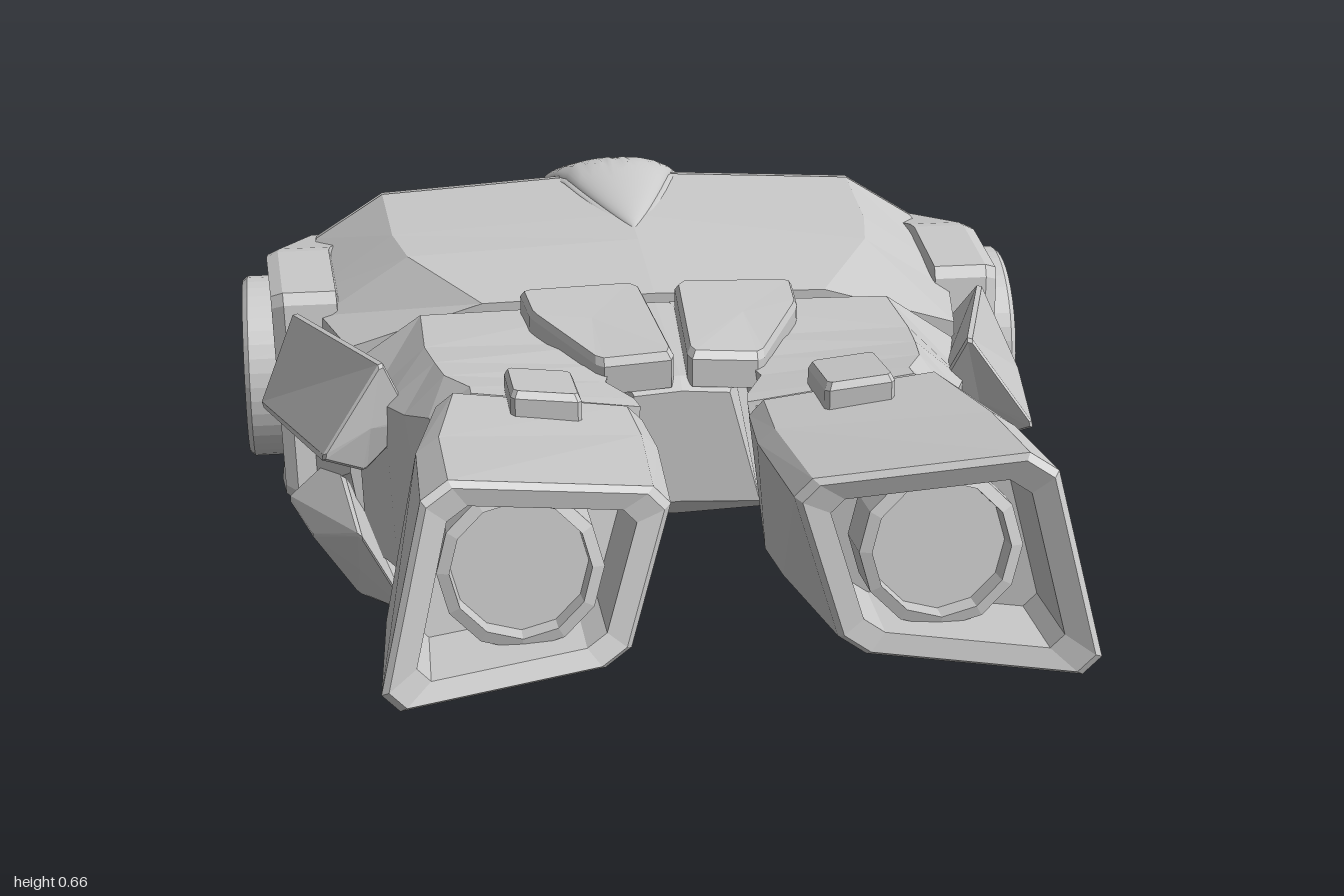
import * as THREE from 'three';

const grey = new THREE.MeshStandardMaterial({ color: 0xcccccc });
grey.name = 'light grey';

// Triangles with hard edges, turned outward by the sign of the enclosed volume.
function solid(tris) {
  const a = new THREE.Vector3(), b = new THREE.Vector3(), c = new THREE.Vector3();
  let volume = 0;
  for (const [p, q, r] of tris) volume += a.fromArray(p).dot(b.fromArray(q).cross(c.fromArray(r)));
  const flat = tris.flatMap(([p, q, r]) => (volume < 0 ? [...p, ...r, ...q] : [...p, ...q, ...r]));
  const geo = new THREE.BufferGeometry();
  geo.setAttribute('position', new THREE.Float32BufferAttribute(flat, 3));
  geo.computeVertexNormals();
  return geo;
}

const middle = (ring) => [0, 1, 2].map((k) => ring.reduce((s, p) => s + p[k], 0) / ring.length);
const lerp = (p, q, t) => p.map((v, k) => v + (q[k] - v) * t);
const lerpRing = (a, b, t) => a.map((p, i) => lerp(p, b[i], t));
const shift = (ring, d) => ring.map((p) => p.map((v, k) => v + d[k]));
const shrink = (ring, s) => { const m = middle(ring); return ring.map((p) => lerp(m, p, s)); };

// Closed rings of equal count joined by faces and capped at both ends.
function loft(rings) {
  const tris = [], n = rings[0].length;
  for (let i = 0; i + 1 < rings.length; i++) {
    for (let j = 0; j < n; j++) {
      const k = (j + 1) % n, A = rings[i], B = rings[i + 1];
      tris.push([A[j], A[k], B[k]], [A[j], B[k], B[j]]);
    }
  }
  const first = rings[0], last = rings[rings.length - 1];
  const m0 = middle(first), m1 = middle(last);
  for (let j = 0; j < n; j++) {
    const k = (j + 1) % n;
    tris.push([m0, first[k], first[j]], [m1, last[j], last[k]]);
  }
  return solid(tris);
}

// Cut each corner of a ring.
const chamfer = (ring, t) => ring.flatMap((p, i) => [
  lerp(p, ring[(i + ring.length - 1) % ring.length], t), lerp(p, ring[(i + 1) % ring.length], t)]);

// Plate raised from an outline, with a bevelled top.
const slab = (outline, offset, inset = 0.9) => {
  const ring = chamfer(outline, 0.06);
  return loft([ring, shift(ring, offset.map((v) => v * 0.8)), shrink(shift(ring, offset), inset)]);
};

// Bevelled bar between two end rings.
const bar = (front, rear) => {
  const f = chamfer(front, 0.05), r = chamfer(rear, 0.05);
  return loft([shrink(f, 0.94), lerpRing(f, r, 0.015), lerpRing(f, r, 0.985), shrink(r, 0.94)]);
};

// Symmetric hull ring from a half profile [x, y], top centre to bottom centre.
const hullRing = (z, half, lean = 0) => {
  const r = half.map(([x, y]) => [x, y, z + lean * (half[0][1] - y)]);
  return [...r, ...r.slice(1, -1).reverse().map(([x, y, w]) => [-x, y, w])];
};

// Teardrop dome lying along the top of the hull.
function teardrop(size, height) {
  const geo = new THREE.SphereGeometry(1, 40, 12, 0, Math.PI * 2, 0, Math.PI / 2);
  const p = geo.attributes.position;
  for (let i = 0; i < p.count; i++) {
    const t = Math.max(0, p.getZ(i));
    const x = p.getX(i) * 0.113 * size * Math.pow((1 - t) / (1 + t), 0.4);
    const z = -0.64 + p.getZ(i) * (t > 0 ? 0.39 : 0.113) * size;
    const base = z < -0.55 ? 0.497 + (z + 0.55) * 0.457 : 0.497 + (z + 0.55) * 0.057;
    p.setXYZ(i, x, base - 0.004 + p.getY(i) * height * (1 - 0.6 * t), z);
  }
  geo.computeVertexNormals();
  return geo;
}

export function createModel() {
  const model = new THREE.Group();
  model.name = 'model';
  const add = (name, geo, parent = model) => {
    const mesh = new THREE.Mesh(geo, grey);
    mesh.name = name;
    parent.add(mesh);
  };

  // Hull with a narrow groove around its widest part
  const seam = [[0, 0.497], [0.38, 0.475], [0.49, 0.405], [0.53, 0.085], [0.45, 0.004], [0.19, 0.019], [0, 0.022]];
  add('hull', loft([
    hullRing(-1, [[0, 0.29], [0.18, 0.289], [0.21, 0.284], [0.21, 0.25], [0.2, 0.11], [0.1, 0.113], [0, 0.115]], 0.14),
    hullRing(-0.72, [[0, 0.42], [0.31, 0.402], [0.4, 0.335], [0.41, 0.16], [0.37, 0.053], [0.17, 0.06], [0, 0.062]]),
    hullRing(-0.557, seam, 0.06),
    shrink(hullRing(-0.556, seam, 0.06), 0.97),
    shrink(hullRing(-0.549, seam, 0.06), 0.97),
    hullRing(-0.548, seam, 0.06),
    hullRing(-0.32, [[0, 0.51], [0.37, 0.49], [0.5, 0.4], [0.535, 0.095], [0.46, 0.018], [0.19, 0.045], [0, 0.05]]),
    hullRing(-0.2, [[0, 0.514], [0.35, 0.5], [0.485, 0.41], [0.52, 0.12], [0.46, 0.035], [0.19, 0.085], [0, 0.09]]),
    hullRing(0.024, [[0, 0.515], [0.25, 0.51], [0.445, 0.45], [0.45, 0.25], [0.43, 0.12], [0.165, 0.2], [0, 0.203]]),
  ]));
  add('centreBody', loft([
    hullRing(0.018, [[0, 0.495], [0.2, 0.49], [0.165, 0.212], [0, 0.215]]),
    hullRing(0.034, [[0, 0.505], [0.2, 0.5], [0.17, 0.202], [0, 0.205]]),
    hullRing(0.34, [[0, 0.522], [0.075, 0.52], [0.115, 0.32], [0, 0.315]]),
    hullRing(0.365, [[0, 0.51], [0.065, 0.505], [0.108, 0.34], [0, 0.345]]),
  ]));

  // Teardrop on the roof with its thin rim
  add('teardropRim', teardrop(1.06, 0.012));
  add('teardrop', teardrop(1, 0.037));

  for (const s of [1, -1]) {
    const side = new THREE.Group();
    side.name = s > 0 ? 'leftSide' : 'rightSide';
    model.add(side);
    const M = (pts) => pts.map(([x, y, z]) => [x * s, y, z]);
    const at = (z, pts) => M(pts.map(([x, y]) => [x, y, z]));

    // Neck from hull to forearm, its ends tucked into both
    const root = at(0.034, [[0.02, 0.505], [0.34, 0.5], [0.44, 0.43], [0.43, 0.122], [0.165, 0.202]]);
    const wrist = M([[0.07, 0.548, 0.494], [0.29, 0.578, 0.494], [0.34, 0.54, 0.5], [0.345, 0.342, 0.54], [0.1, 0.345, 0.54]]);
    add('neck', loft([
      shift(shrink(root, 0.95), [0, 0, -0.016]),
      root,
      at(0.2, [[0.05, 0.515], [0.34, 0.52], [0.415, 0.45], [0.405, 0.195], [0.14, 0.262]]),
      at(0.3, [[0.09, 0.525], [0.33, 0.54], [0.4, 0.48], [0.39, 0.23], [0.125, 0.3]]),
      at(0.38, [[0.105, 0.535], [0.32, 0.555], [0.375, 0.5], [0.37, 0.272], [0.12, 0.325]]),
      at(0.46, [[0.075, 0.545], [0.29, 0.572], [0.345, 0.53], [0.35, 0.318], [0.1, 0.34]]),
      wrist,
      shrink(wrist, 0.93),
      shift(shrink(wrist, 0.93), [0, 0, 0.02]),
    ]), side);

    // Forearm box with a framed recess at the front
    const back = chamfer(M([[0.068, 0.552, 0.5], [0.335, 0.587, 0.5], [0.352, 0.343, 0.546], [0.09, 0.343, 0.546]]), 0.08);
    const mid = chamfer(M([[0.06, 0.57, 0.63], [0.365, 0.628, 0.73], [0.417, 0.363, 0.74], [0.1, 0.355, 0.65]]), 0.08);
    const face = chamfer(M([[0.068, 0.608, 0.86], [0.365, 0.674, 0.945], [0.43, 0.4, 1], [0.13, 0.4, 0.905]]), 0.09);
    const opening = shrink(face, 0.76);
    add('forearm', loft([
      shrink(back, 0.96), shift(back, [0, 0.001, 0.007]), mid, face, shift(shrink(face, 0.95), [0, 0, 0.008]),
      opening, shift(shrink(opening, 0.98), [0, -0.015, -0.13]),
    ]), side);
    const lens = new THREE.LatheGeometry([[0.1, -0.06], [0.1, 0.02], [0.085, 0.025], [0.083, -0.005], [0, -0.005]]
      .map(([x, y]) => new THREE.Vector2(x, y)), 12).toNonIndexed();
    lens.computeVertexNormals();
    lens.rotateX(Math.PI / 2 - 0.18).translate(s * 0.253, 0.51, 0.85);
    add('lens', lens, side);

    // Clip over the joint and wedge plate beside the centre line
    add('clip', slab(M([[0.155, 0.535, 0.45], [0.245, 0.545, 0.45], [0.245, 0.575, 0.6], [0.155, 0.565, 0.6]]), [0, 0.05, 0]), side);
    add('wedgePlate', slab(M([[0.026, 0.495, 0.045], [0.197, 0.49, 0.045], [0.19, 0.497, 0.15],
      [0.11, 0.505, 0.355], [0.008, 0.515, 0.362]]), [0, 0.05, 0], 0.94), side);

    // Upper and lower cheek fins
    add('upperFin', bar(
      M([[0.4, 0.555, 0.322], [0.488, 0.435, 0.372], [0.43, 0.382, 0.3], [0.36, 0.45, 0.29]]),
      M([[0.525, 0.436, -0.165], [0.582, 0.305, -0.11], [0.472, 0.238, -0.142], [0.43, 0.33, -0.145]])), side);
    add('lowerFin', bar(
      M([[0.44, 0.27, 0.268], [0.512, 0.165, 0.05], [0.445, 0.068, 0.06], [0.374, 0.153, 0.295]]),
      M([[0.47, 0.212, -0.135], [0.548, 0.145, -0.12], [0.475, 0.062, -0.06], [0.4, 0.13, -0.1]])), side);

    // Side pod, tapering to the rear, with a round cap
    const pod = chamfer(M([[0.55, 0.13, -0.134], [0.56, 0.45, -0.188], [0.57, 0.435, -0.42], [0.515, 0.368, -0.66],
      [0.45, 0.295, -0.722], [0.53, 0.06, -0.63], [0.56, 0.082, -0.3]]), 0.05);
    add('sidePod', loft([shift(pod, [-s * 0.1, 0, 0]), shift(pod, [-s * 0.02, 0, 0]), shrink(pod, 0.95)]), side);
    const cap = new THREE.LatheGeometry([[0.143, 0], [0.143, 0.1], [0.136, 0.108], [0, 0.108]]
      .map(([x, y]) => new THREE.Vector2(x, y)), 40).toNonIndexed();
    cap.computeVertexNormals();
    cap.rotateZ(-s * Math.PI / 2).translate(s * 0.499, 0.256, -0.378);
    add('roundCap', cap, side);
  }
  return model;
}
